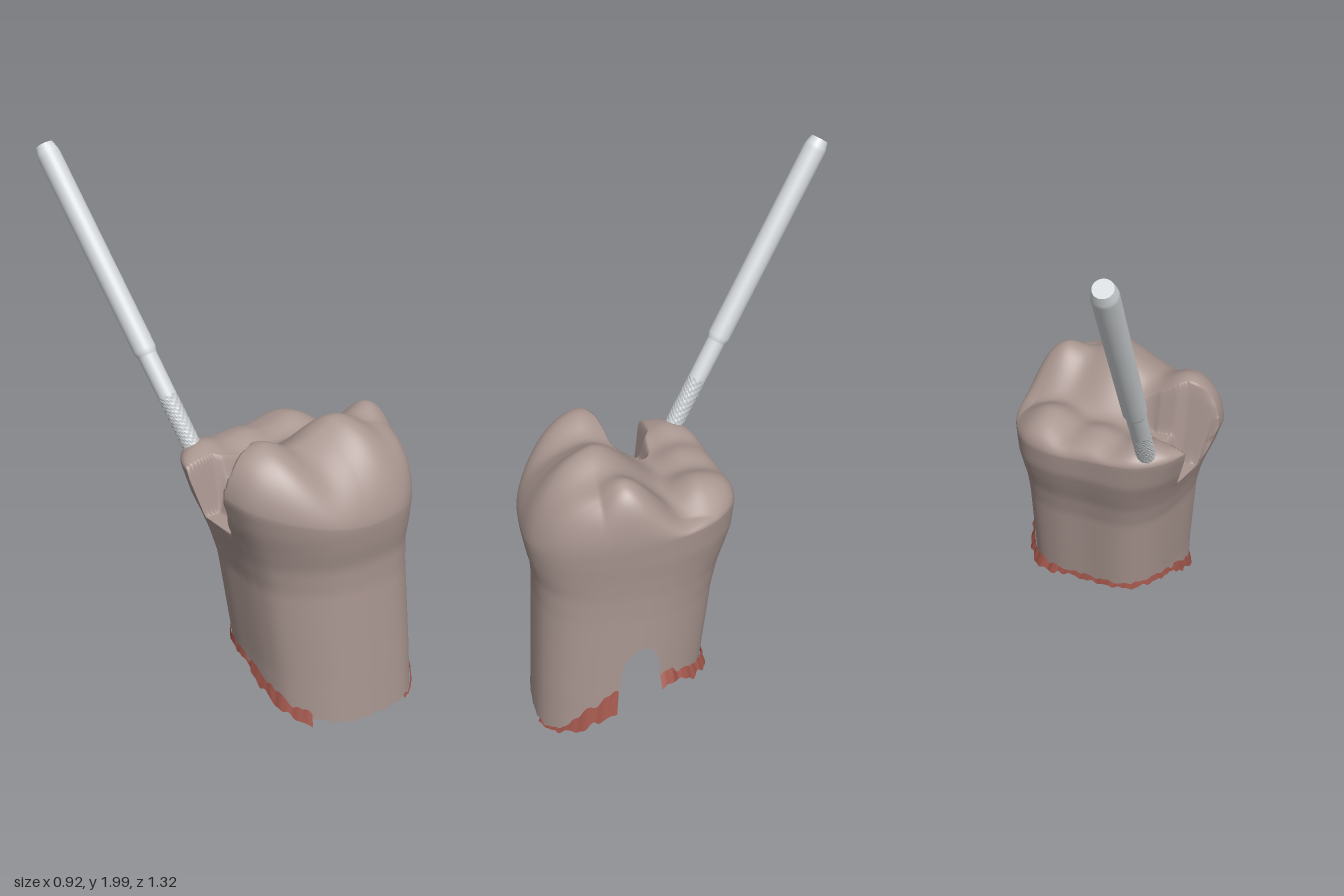
import * as THREE from 'three';

const N = 320, WALL = 36, DOME = 80;
const { lerp, clamp, smoothstep } = THREE.MathUtils;

// Widest crown outline (x, z), running back, right, front, left
const outline = new THREE.CatmullRomCurve3([
  [-0.32, 0.09], [-0.285, 0], [-0.2, -0.08], [0, -0.12], [0.15, -0.145], [0.265, -0.125], [0.36, -0.04],
  [0.425, 0.09], [0.445, 0.25], [0.42, 0.42], [0.355, 0.55], [0.25, 0.625], [0.1, 0.645], [-0.085, 0.627],
  [-0.21, 0.56], [-0.305, 0.453], [-0.333, 0.35], [-0.333, 0.2],
].map(([x, z]) => new THREE.Vector3(x, 0, z)), true).getSpacedPoints(N).slice(0, N);

// Extents of the body by height: y, x min, x max, z min, z max
const extents = [
  [0, -0.165, 0.445, 0.02, 0.655], [0.2, -0.175, 0.44, 0, 0.64], [0.55, -0.21, 0.43, -0.05, 0.612],
  [0.65, -0.235, 0.43, -0.075, 0.613], [0.73, -0.262, 0.434, -0.106, 0.63],
  [0.8, -0.29, 0.44, -0.13, 0.64], [0.92, -0.328, 0.446, -0.145, 0.643],
];

function wallPoint(i, y) {
  let k = 0;
  while (k < extents.length - 2 && y > extents[k + 1][0]) k++;
  const a = extents[k], b = extents[k + 1];
  const t = clamp((y - a[0]) / (b[0] - a[0]), 0, 1);
  const [, x0, x1, z0, z1] = a.map((v, j) => lerp(v, b[j], t));
  const p = outline[i];
  return new THREE.Vector3(lerp(x0, x1, (p.x + 0.33) / 0.775), y, lerp(z0, z1, (p.z + 0.145) / 0.79));
}

const jag = (i) => 0.5 * Math.sin(i * 0.55) + 0.3 * Math.sin(i * 1.1 + 1) + 0.2 * Math.sin(i * 0.23);
const inNotch = ({ x, z }) => x > 0.2 && Math.abs(z - 0.285) < 0.075;

// Ragged lower edge, with a rounded notch on the +x side
function lowerEdge(i) {
  const root = wallPoint(i, 0.2), { x, z } = root;
  if (inNotch(root)) return 0.29 + 0.13 * Math.sqrt(1 - ((z - 0.285) / 0.075) ** 2);
  const base = 0.195 - 0.178 * smoothstep(z, 0.15, 0.66);
  const side = x > 0.2 ? 0.065 * smoothstep(z, 0, 0.2) * (1 - smoothstep(z, 0.37, 0.62)) : 0;
  return Math.max(0.01, base + side + 0.008 * jag(i));
}

// Chewing surface: cusps x, z, height, spread
const cusps = [
  [-0.21, 0.38, 0.252, 0.23], [0.13, 0.38, 0.262, 0.23], [0.36, 0.3, 0.245, 0.17],
  [-0.21, -0.01, 0.135, 0.16], [0, -0.01, 0.115, 0.16], [0.22, -0.01, 0.135, 0.17],
];
function chewingHeight(px, pz) {
  const x = clamp(px, -0.21, 0.36), z = clamp(pz, -0.01, 0.38);
  return 0.862 + Math.cbrt(cusps.reduce((sum, [cx, cz, h, r]) =>
    sum + (h * Math.exp(-((x - cx) ** 2 + (z - cz) ** 2) / (r * r))) ** 3, 0));
}

// Prepared slot: two floors, sloped back wall, steep front wall, open to -x
function carve(p) {
  if (p.x > 0.08) return p;
  const zBack = 0.135, zFront = 0.25 + 0.3 * clamp(-0.11 - p.x, 0, 0.2);
  const half = (zFront - zBack) / 2;
  const outside = Math.max(0, Math.hypot(Math.max(0, p.x + 0.1), p.z - zBack - half) - half);
  const ledge = smoothstep(p.x, -0.21, -0.165);
  const slope = lerp(lerp(5, 3.2, ledge), 8, smoothstep(p.z, zBack, zFront));
  const limit = lerp(0.74, 0.86, ledge) + outside * slope;
  if (p.y > limit) {
    p.y = limit;
    p.x = Math.max(p.x, -0.268 - outside * 1.5);
  }
  return p;
}

// Surface through equal closed rings
function loft(rings) {
  const pos = [], index = [];
  rings.forEach((ring) => ring.forEach((p) => pos.push(p.x, p.y, p.z)));
  for (let r = 0; r < rings.length - 1; r++) {
    for (let i = 0; i < N; i++) {
      const a = r * N + i, b = r * N + (i + 1) % N;
      index.push(a, a + N, b, b, a + N, b + N);
    }
  }
  const g = new THREE.BufferGeometry();
  g.setAttribute('position', new THREE.Float32BufferAttribute(pos, 3));
  g.setIndex(index);
  g.computeVertexNormals();
  return g;
}

function toothGeometry() {
  const rings = [];
  const centre = new THREE.Vector3(0.06, 0, 0.25);
  const dirs = outline.map((p) => p.clone().sub(centre).normalize());
  const front = dirs.map((d) => Math.max(0, d.z));
  const rim = dirs.map((d, i) => 0.89 - 0.08 * front[i] + 0.04 * Math.max(0, -d.x));
  for (let r = 0; r <= WALL; r++) {
    rings.push(outline.map((_, i) => carve(wallPoint(i, lerp(lowerEdge(i), rim[i], r / WALL)))));
  }
  // Rounded shoulder running into the chewing surface
  for (let r = 1; r <= DOME; r++) {
    const s = 1 - Math.pow(r / DOME, 1.6);
    rings.push(outline.map((_, i) => {
      const p = wallPoint(i, rim[i]);
      p.x = lerp(centre.x, p.x, s);
      p.z = lerp(centre.z, p.z, s);
      const f = front[i] ** 2;
      const fullness = 5 - 2.8 * f + 4 * Math.max(0, dirs[i].x) ** 2;
      const rise = Math.pow(1 - Math.pow(s, fullness), 0.5 + 0.14 * f);
      p.y = lerp(rim[i], chewingHeight(p.x, p.z), rise);
      return carve(p);
    }));
  }
  return loft(rings);
}

// Torn strip of tissue following the lower edge
function gumGeometry() {
  const pos = [];
  const roots = outline.map((_, i) => wallPoint(i, 0.2));
  const strip = (i) => {
    const { x, z } = roots[i], y = lowerEdge(i);
    let w = 0.022, flare = 0.2;
    if (x > 0.2 && z > 0.36) w = 0.07 * (1 - smoothstep(z, 0.42, 0.6)) + 0.01;
    else if (x > 0.2) [w, flare] = [0.04, 0.45];
    else if (x < -0.08 && z > 0.3) w = 0.045;
    w *= 1 + 0.45 * jag(i * 0.7);
    const out = (p, d) => {
      const n = new THREE.Vector3(p.x - 0.13, 0, p.z - 0.3).normalize();
      return p.addScaledVector(n, d);
    };
    return [out(wallPoint(i, y + w * 0.6), 0.003), out(wallPoint(i, Math.max(0, y - w * 0.5)), 0.005 + w * flare)];
  };
  for (let i = 0; i < N; i++) {
    const j = (i + 1) % N, { x, z } = roots[i];
    if (inNotch(roots[i]) || inNotch(roots[j]) || (z > 0.5 && x > -0.1 && x < 0.28)) continue;
    const [a, b] = strip(i), [c, d] = strip(j);
    [b, a, d, d, a, c].forEach((p) => pos.push(p.x, p.y, p.z));
  }
  const g = new THREE.BufferGeometry();
  g.setAttribute('position', new THREE.Float32BufferAttribute(pos, 3));
  g.computeVertexNormals();
  return g;
}

const lathe = (points, sides = 32) =>
  new THREE.LatheGeometry(points.map(([r, y]) => new THREE.Vector2(r, y)), sides);

export function createModel() {
  const enamel = new THREE.MeshStandardMaterial({ color: 0xa8958f, side: THREE.DoubleSide });
  const tissue = new THREE.MeshStandardMaterial({ color: 0xa0564b, side: THREE.DoubleSide });
  const steel = new THREE.MeshStandardMaterial({ color: 0xd5d9db });
  const grit = new THREE.MeshStandardMaterial({ color: 0xc6cacc, flatShading: true });
  enamel.name = 'enamel';
  tissue.name = 'gum tissue';
  steel.name = 'steel';
  grit.name = 'diamond grit';

  const model = new THREE.Group();
  const add = (parent, name, geometry, material) => {
    const mesh = new THREE.Mesh(geometry, material);
    mesh.name = name;
    parent.add(mesh);
  };
  add(model, 'tooth', toothGeometry(), enamel);
  add(model, 'gumFringe', gumGeometry(), tissue);

  // Bur, built upright from its tip and then tilted
  const bur = new THREE.Group();
  bur.name = 'bur';
  add(bur, 'shank', lathe([[0.035, 0.23], [0.036, 0.395], [0.037, 0.4], [0.043, 0.42], [0.043, 1.2],
    [0.041, 1.213], [0.033, 1.242]]), steel);
  const cap = new THREE.CircleGeometry(0.033, 32).rotateX(-Math.PI / 2).translate(0, 1.242, 0);
  add(bur, 'shankEnd', cap, steel);
  const profile = [[0, 0], [0.016, 0.003], [0.028, 0.012]];
  for (let k = 0; k <= 20; k++) profile.push([0.035, 0.027 + k * 0.0103]);
  const head = lathe(profile);
  const p = head.attributes.position;
  for (let i = 0; i < p.count; i++) {
    const turn = Math.round(Math.atan2(p.getX(i), p.getZ(i)) * 5.1);
    const bump = 1 + 0.04 * Math.sin((i % profile.length) * 2.3 + turn * 4.7);
    p.setX(i, p.getX(i) * bump);
    p.setZ(i, p.getZ(i) * bump);
  }
  head.computeVertexNormals();
  add(bur, 'grittyHead', head, grit);
  const tip = new THREE.Vector3(-0.214, 0.93, -0.005);
  const axis = new THREE.Vector3(-0.428, 1.98, -0.64).sub(tip).normalize();
  bur.position.copy(tip);
  bur.quaternion.setFromUnitVectors(new THREE.Vector3(0, 1, 0), axis);
  model.add(bur);
  return model;
}
